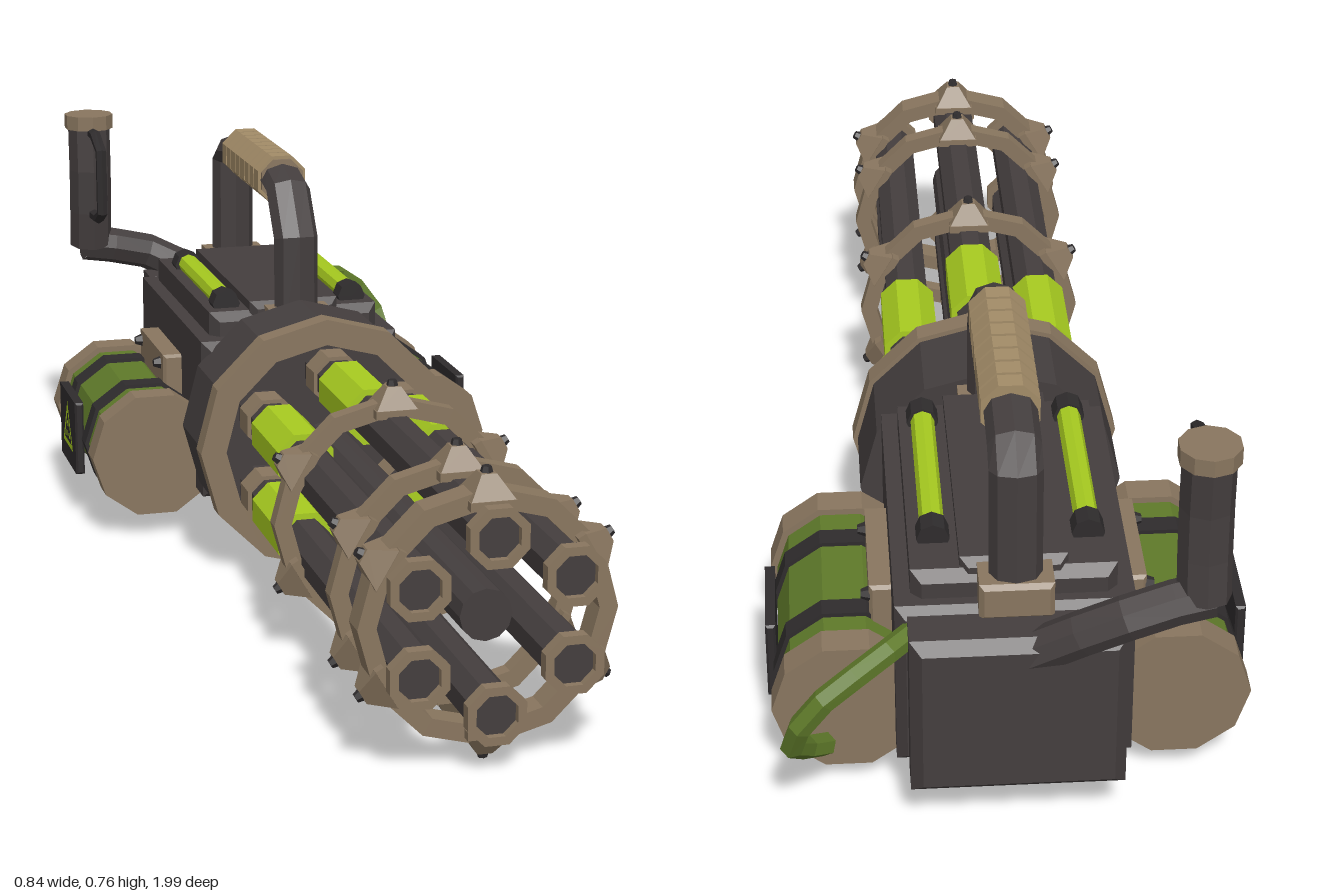
import * as THREE from 'three';

const colour = (name, hex) => {
  const m = new THREE.MeshStandardMaterial({ color: hex });
  m.name = name;
  return m;
};

// Curve through straight knees, one tube segment per knee
class Polyline extends THREE.Curve {
  constructor(pts) { super(); this.pts = pts.map(p => new THREE.Vector3(...p)); }
  getPointAt(u) { return this.pts[Math.round(u * (this.pts.length - 1))].clone(); }
  getPoint(u) { return this.getPointAt(u); }
  getTangentAt(u) {
    const n = this.pts.length - 1, i = Math.round(u * n);
    return this.pts[Math.min(n, i + 1)].clone().sub(this.pts[Math.max(0, i - 1)]).normalize();
  }
}

export function createModel() {
  const root = new THREE.Group();
  root.name = 'rotaryGun';
  const dark = colour('dark metal', 0x443e3e);
  const black = colour('black fittings', 0x2f2c2d);
  const tan = colour('tan metal', 0x89765f);
  const gripTan = colour('grip wrap', 0xa38c68);
  const olive = colour('olive green', 0x5f7a2a);
  const lime = colour('bright green', 0xa8cc20);
  const CY = 0.255; // barrel axis height

  // Facetted mesh
  const add = (name, geo, mat, x = 0, y = 0, z = 0, parent = root) => {
    const g = geo.index ? geo.toNonIndexed() : geo;
    g.computeVertexNormals();
    const m = new THREE.Mesh(g, mat);
    m.name = name;
    m.position.set(x, y, z);
    parent.add(m);
    return m;
  };
  // Prism along z from z0 to z1
  const rod = (name, mat, x, y, z0, z1, r, sides, spin = 0, rFront = r, parent = root) => {
    const g = new THREE.CylinderGeometry(rFront, r, z1 - z0, sides).rotateX(Math.PI / 2).rotateZ(spin);
    return add(name, g, mat, x, y, (z0 + z1) / 2, parent);
  };
  // Hollow polygon ring along z
  const ring = (name, mat, x, y, z0, z1, r, hole, sides, spin = 0, parent = root) => {
    const poly = q => Array.from({ length: sides }, (_, i) => {
      const a = spin + i / sides * Math.PI * 2;
      return new THREE.Vector2(Math.cos(a) * q, Math.sin(a) * q);
    });
    const s = new THREE.Shape(poly(r));
    s.holes.push(new THREE.Path(poly(hole)));
    return add(name, new THREE.ExtrudeGeometry(s, { depth: z1 - z0, bevelEnabled: false }), mat, x, y, z0, parent);
  };
  // Box with chamfered edges, given by its limits
  const block = (name, mat, x0, x1, y0, y1, z0, z1, b = 0.015, parent = root) => {
    const w = (x1 - x0) / 2 - b, h = (y1 - y0) / 2 - b;
    const s = new THREE.Shape([[-w, -h], [w, -h], [w, h], [-w, h]].map(p => new THREE.Vector2(...p)));
    const g = new THREE.ExtrudeGeometry(s, {
      depth: z1 - z0 - 2 * b, bevelEnabled: b > 0, bevelThickness: b, bevelSize: b, bevelSegments: 1,
    });
    return add(name, g, mat, (x0 + x1) / 2, (y0 + y1) / 2, z0 + b, parent);
  };
  // Bent pipe with closed ends
  const pipe = (name, mat, pts, r, sides, widen = 1) => {
    const group = new THREE.Group();
    group.name = name;
    group.scale.x = widen;
    root.add(group);
    const c = new Polyline(pts);
    add(name + 'Tube', new THREE.TubeGeometry(c, pts.length - 1, r, sides), mat, 0, 0, 0, group);
    [0, 1].forEach(u => {
      const t = c.getTangentAt(u).multiplyScalar(u ? 1 : -1);
      const cap = add(name + 'End', new THREE.CircleGeometry(r, sides), mat, ...c.getPointAt(u).toArray(), group);
      cap.quaternion.setFromUnitVectors(new THREE.Vector3(0, 0, 1), t);
    });
    return group;
  };

  // Drum and front collar
  rod('drum', dark, 0, CY, -0.26, -0.09, 0.241, 12);
  ring('collar', tan, 0, CY, -0.095, -0.052, 0.25, 0.2, 12);
  rod('rotorPlate', dark, 0, CY, -0.09, -0.065, 0.205, 12);
  rod('centreShaft', dark, 0, CY, -0.07, 0.93, 0.045, 12);

  // Six barrels
  for (let i = 0; i < 6; i++) {
    const a = Math.PI / 2 + i * Math.PI / 3;
    const x = Math.cos(a) * 0.15, y = CY + Math.sin(a) * 0.15, s = Math.PI / 8;
    const b = new THREE.Group();
    b.name = 'barrel' + (i + 1);
    b.position.set(x, y, 0);
    root.add(b);
    rod('barrelTube', dark, 0, 0, -0.07, 0.955, 0.044, 8, s, 0.044, b);
    rod('barrelSocket', tan, 0, 0, -0.03, 0.03, 0.052, 8, s, 0.052, b);
    rod('energySleeve', lime, 0, 0, 0.08, 0.28, 0.056, 8, s, 0.056, b);
    rod('muzzleCore', dark, 0, 0, 0.95, 0.98, 0.034, 8, s, 0.034, b);
    ring('muzzleLip', tan, 0, 0, 0.972, 0.995, 0.054, 0.038, 8, s, b);
    rod('bore', dark, 0, 0, 0.974, 0.982, 0.04, 8, s, 0.04, b);
  }

  // Clamp hoops with pointed bosses and studs
  [[0.39, 0.03, 0.036], [0.765, 0.03, 0.036], [0.921, 0.05, 0.042]].forEach(([z, w, half], k) => {
    const hoop = new THREE.Group();
    hoop.name = 'clampHoop' + (k + 1);
    hoop.position.set(0, CY, z);
    root.add(hoop);
    ring('hoopBand', tan, 0, 0, -w / 2, w / 2, 0.22, 0.188, 12, 0, hoop);
    for (let i = 0; i < 6; i++) {
      const spoke = new THREE.Group();
      spoke.name = 'hoopBoss';
      spoke.rotation.z = i * Math.PI / 3;
      hoop.add(spoke);
      const boss = new THREE.CylinderGeometry(0.018, 0.055, 0.04, 4).rotateY(Math.PI / 4).scale(1, 1, half / 0.039);
      add('bossCone', boss, tan, 0, 0.219, 0, spoke);
      add('bossFoot', new THREE.BoxGeometry(0.078, 0.015, half * 2), tan, 0, 0.194, 0, spoke);
      add('bossStud', new THREE.CylinderGeometry(0.008, 0.012, 0.014, 6), black, 0, 0.242, 0, spoke);
    }
  });

  // Housing
  block('housing', dark, -0.2, 0.2, 0.1, 0.42, -0.866, -0.25, 0.018);
  block('rearCover', dark, -0.18, 0.18, 0.105, 0.415, -0.957, -0.85, 0.02);
  block('topDeck', dark, -0.172, 0.172, 0.4, 0.467, -0.83, -0.3, 0.018);
  block('topSpine', dark, -0.09, 0.09, 0.44, 0.485, -0.82, -0.3, 0.014);

  // Carry handle with wrapped grip
  pipe('carryHandle', dark, [[0, 0.43, -0.29], [0, 0.615, -0.29], [0, 0.7, -0.35], [0, 0.712, -0.4],
    [0, 0.712, -0.72], [0, 0.7, -0.8], [0, 0.675, -0.838], [0, 0.43, -0.845]], 0.033, 8, 1.35);
  for (let i = 0; i < 8; i++) {
    const z = -0.72 + i * 0.0405;
    rod('gripBand', gripTan, 0, 0.71, z, z + 0.034, 0.053, 8, Math.PI / 8);
    rod('gripGroove', tan, 0, 0.71, z + 0.034, z + 0.0405, 0.046, 8, Math.PI / 8);
  }
  block('frontHandleFoot', tan, -0.062, 0.062, 0.43, 0.478, -0.335, -0.262, 0.008);
  block('rearHandleFoot', tan, -0.062, 0.062, 0.41, 0.478, -0.885, -0.8, 0.008);

  // Both flanks: glowing rod, bracket, canister
  [-1, 1].forEach(s => {
    const side = new THREE.Group();
    side.name = s > 0 ? 'leftSide' : 'rightSide';
    root.add(side);
    const on = (n, m, x, y, z0, z1, r, n2) => rod(n, m, s * x, y, z0, z1, r, n2, 0, r, side);
    on('glowRod', lime, 0.13, 0.478, -0.7, -0.385, 0.021, 8);
    on('glowRodFrontCap', black, 0.13, 0.475, -0.385, -0.345, 0.028, 8);
    on('glowRodRearCap', black, 0.13, 0.475, -0.74, -0.7, 0.028, 8);

    const x = 0.281, y = 0.174;
    const can = (n, m, z0, z1, r) => {
      const c = on(n, m, x, y, z0, z1, r, 10);
      c.rotation.z = Math.PI / 10 * 5; // corner points outward
    };
    can('canisterBody', olive, -0.76, -0.37, 0.117);
    can('canisterFrontCap', tan, -0.388, -0.333, 0.129);
    can('canisterRearCap', tan, -0.8, -0.744, 0.129);
    can('canisterFrontStrap', black, -0.485, -0.445, 0.125);
    can('canisterRearStrap', black, -0.692, -0.652, 0.125);

    const lim = (a, b) => s > 0 ? [a, b] : [-b, -a];
    block('bracket', tan, ...lim(0.19, 0.238), 0.24, 0.347, -0.695, -0.455, 0.006, side);
    [-0.49, -0.68].forEach(z => {
      const g = new THREE.CylinderGeometry(0.008, 0.014, 0.016, 6).rotateZ(-s * Math.PI / 2);
      add('bracketBolt', g, black, s * 0.244, 0.324, z, side);
    });

    // Warning plate: triangle outline with three dots
    block('warningPlate', black, ...lim(0.4, 0.418), 0.098, 0.25, -0.665, -0.485, 0.004, side);
    const tri = r => [0, 1, 2].map(i => {
      const a = Math.PI / 2 + i * Math.PI * 2 / 3;
      return new THREE.Vector2(Math.cos(a) * r, Math.sin(a) * r);
    });
    const shape = new THREE.Shape(tri(0.064));
    shape.holes.push(new THREE.Path(tri(0.043)));
    const sign = new THREE.Group();
    sign.name = 'warningSign';
    sign.position.set(s * 0.4185, 0.168, -0.575);
    sign.rotation.y = s * Math.PI / 2;
    side.add(sign);
    add('signTriangle', new THREE.ShapeGeometry(shape), lime, 0, 0, 0, sign);
    tri(0.016).forEach(p => add('signDot', new THREE.CircleGeometry(0.008, 6), lime, p.x, p.y, 0, sign));
  });

  // Rear control grip on a bent pipe, with its guard
  pipe('gripArm', dark, [[-0.02, 0.37, -0.92], [-0.1, 0.42, -0.94], [-0.17, 0.455, -0.95],
    [-0.25, 0.475, -0.94], [-0.31, 0.485, -0.935]], 0.038, 8);
  pipe('controlGrip', dark, [[-0.297, 0.482, -0.935], [-0.297, 0.56, -0.925], [-0.297, 0.65, -0.92],
    [-0.297, 0.745, -0.925]], 0.045, 8);
  add('controlGripCap', new THREE.CylinderGeometry(0.052, 0.052, 0.03, 10), tan, -0.297, 0.755, -0.925);
  pipe('gripGuard', black, [[-0.297, 0.735, -0.92], [-0.297, 0.735, -0.85], [-0.297, 0.712, -0.786],
    [-0.297, 0.58, -0.786], [-0.297, 0.56, -0.83], [-0.297, 0.555, -0.92]], 0.012, 6);

  // Coolant hose
  pipe('hose', olive, [[0.16, 0.385, -0.86], [0.215, 0.383, -0.92], [0.27, 0.37, -0.965], [0.32, 0.335, -0.978],
    [0.36, 0.28, -0.975], [0.374, 0.22, -0.95], [0.352, 0.175, -0.9], [0.32, 0.145, -0.858]], 0.021, 6);

  return root;
}
